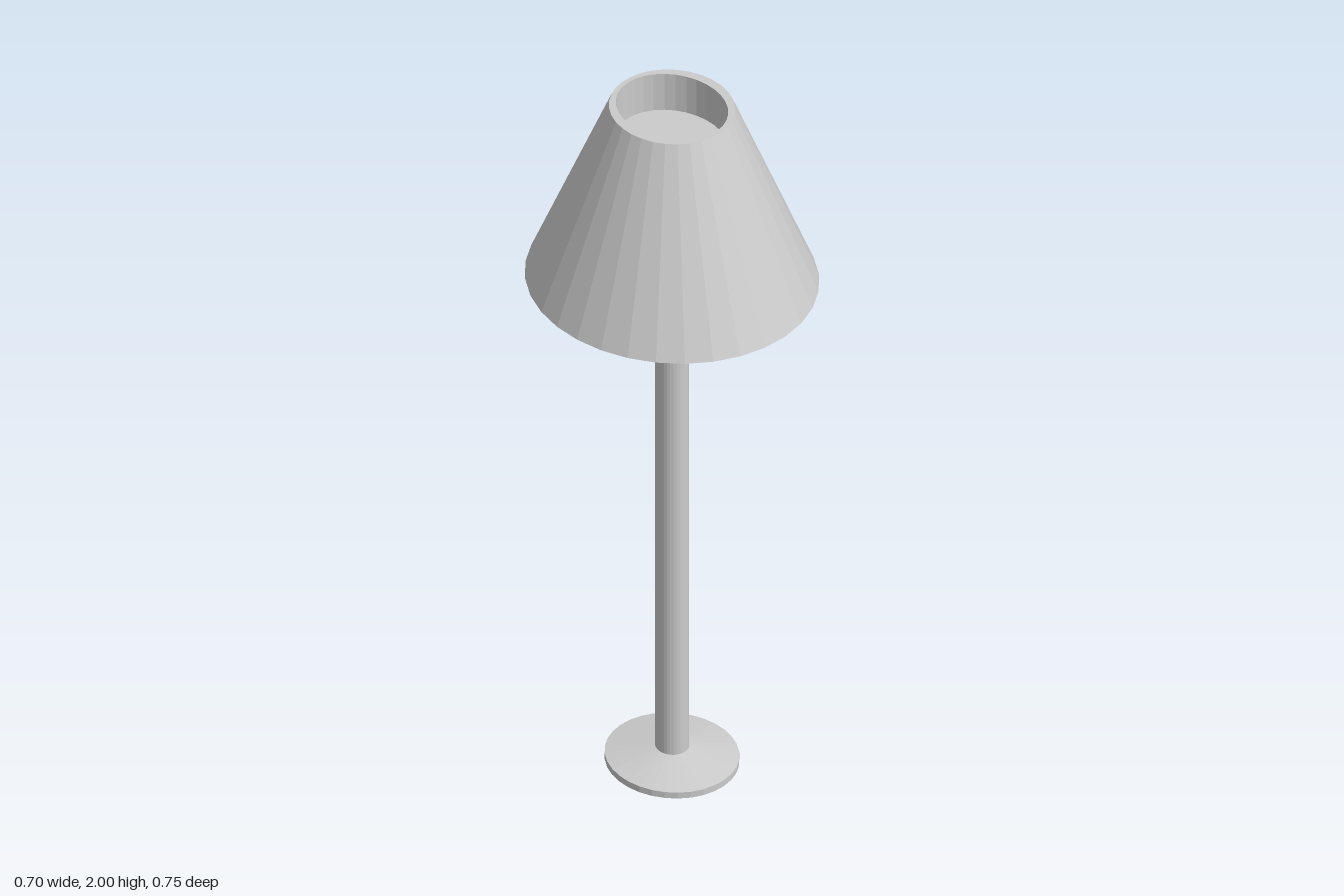
import * as THREE from 'three';

const SIDES = 32;

// Skin elliptical rings [radiusX, radiusZ, y]; listed bottom to top, faces point outward.
function loft(rings) {
  const positions = [], index = [];
  for (const [rx, rz, y] of rings) {
    for (let i = 0; i < SIDES; i++) {
      const a = (i / SIDES) * Math.PI * 2;
      positions.push(rx * Math.sin(a), y, rz * Math.cos(a));
    }
  }
  for (let r = 0; r < rings.length - 1; r++) {
    for (let i = 0; i < SIDES; i++) {
      const a = r * SIDES + i, b = r * SIDES + (i + 1) % SIDES;
      const c = a + SIDES, d = b + SIDES;
      if (rings[r][0] > 0) index.push(a, b, d);
      if (rings[r + 1][0] > 0) index.push(a, d, c);
      else if (rings[r][0] > 0) index[index.length - 1] = c;
    }
  }
  const geometry = new THREE.BufferGeometry();
  geometry.setAttribute('position', new THREE.Float32BufferAttribute(positions, 3));
  geometry.setIndex(index);
  geometry.computeVertexNormals();
  return geometry;
}

export function createModel() {
  const model = new THREE.Group();
  model.name = 'floorLamp';
  const material = new THREE.MeshStandardMaterial({ color: 0xcccccc, flatShading: true });
  const add = (name, rings) => {
    const mesh = new THREE.Mesh(loft(rings), material);
    mesh.name = name;
    model.add(mesh);
  };

  // Low foot with a short rim and a sloping top
  add('base', [[0, 0, 0], [0.16, 0.171, 0], [0.16, 0.171, 0.018], [0.04, 0.043, 0.042], [0, 0, 0.042]]);

  // Straight column running up into the shade
  add('pole', [[0, 0, 0.03], [0.04, 0.043, 0.03], [0.04, 0.043, 1.88], [0, 0, 1.88]]);

  // Hollow shade: underside, inner cone, outer cone, rim and the shallow well in its top
  add('shade', [
    [0, 0, 1.87],
    [0.19, 0.202, 1.87],
    [0.346, 0.369, 1.48],
    [0.35, 0.373, 1.48],
    [0.15, 0.16, 2],
    [0.126, 0.148, 2],
    [0.126, 0.148, 1.89],
    [0, 0, 1.89],
  ]);

  return model;
}
